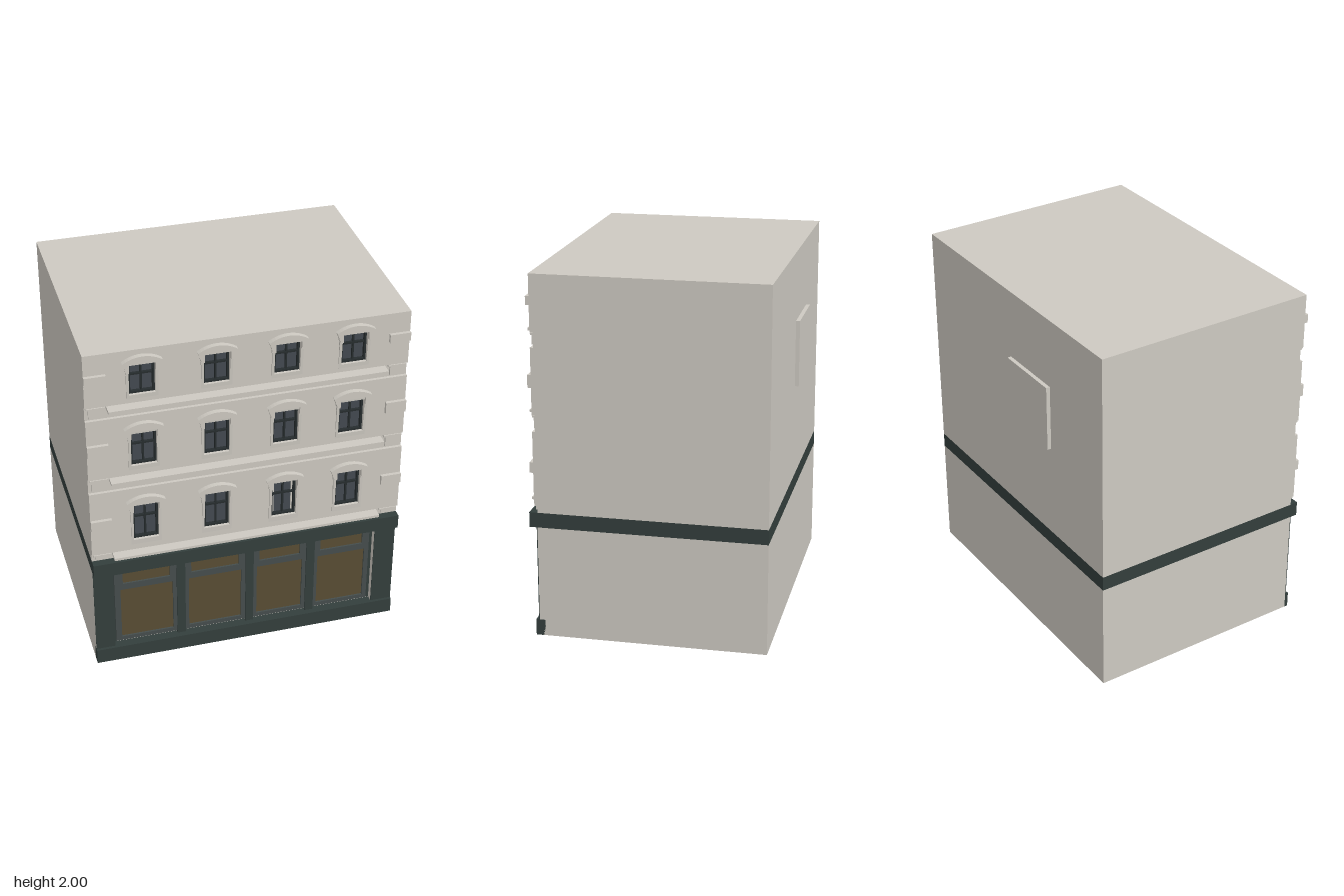
import * as THREE from 'three';

const mat = (color) => new THREE.MeshStandardMaterial({ color, flatShading: true });
const stone = mat(0xcdc9c1), green = mat(0x333e3c), frameGreen = mat(0x454d4c);
const sash = mat(0x262c2e), glass = mat(0x434950), amber = mat(0x584c33);

const BACK = -0.643, W = 0.865, CORE = 0.565, GROOVE = 0.6, WALL = 0.617;

// Box given by its limits on each axis
function box(parent, name, m, x0, x1, y0, y1, z0, z1) {
  const mesh = new THREE.Mesh(new THREE.BoxGeometry(x1 - x0, y1 - y0, z1 - z0), m);
  mesh.position.set((x0 + x1) / 2, (y0 + y1) / 2, (z0 + z1) / 2);
  mesh.name = name;
  parent.add(mesh);
  return mesh;
}

function rectPath(PathType, x0, x1, y0, y1) {
  return new PathType([[x0, y0], [x1, y0], [x1, y1], [x0, y1]].map(p => new THREE.Vector2(...p)));
}

function extrude(parent, name, m, shape, z0, z1) {
  const geo = new THREE.ExtrudeGeometry(shape, { depth: z1 - z0, bevelEnabled: false, curveSegments: 6 });
  geo.translate(0, 0, z0);
  const mesh = new THREE.Mesh(geo, m);
  mesh.name = name;
  parent.add(mesh);
  return mesh;
}

const columns = [-0.565, -0.175, 0.2, 0.562];
const HALF = 0.069; // half width of a window opening
const storeys = [
  { wall: [0.755, 1.155], trim: [0.79, 1.108], pane: [0.82, 1.052], quoin: [0.928, 0.986], groove: [0.705, 0.755] },
  { wall: [1.245, 1.61], trim: [1.277, 1.572], pane: [1.302, 1.508], quoin: [1.394, 1.463], groove: [1.155, 1.245] },
  { wall: [1.69, 2], trim: [1.715, 1.972], pane: [1.738, 1.922], quoin: [1.834, 1.882], groove: [1.61, 1.69] },
];

// Sash window with a flared surround and an arched hood
function makeWindow(cx, { trim: [b, t], pane: [p0, p1] }) {
  const g = new THREE.Group();
  g.name = 'window';
  g.position.x = cx;

  const s = new THREE.Shape();
  s.moveTo(-0.083, b);
  s.lineTo(0.083, b);
  s.lineTo(0.083, t - 0.12);
  s.quadraticCurveTo(0.086, t - 0.07, 0.104, t - 0.033);
  s.quadraticCurveTo(0.055, t, 0, t);
  s.quadraticCurveTo(-0.055, t, -0.104, t - 0.033);
  s.quadraticCurveTo(-0.086, t - 0.07, -0.083, t - 0.12);
  s.holes.push(rectPath(THREE.Path, -HALF, HALF, p0, p1));
  const surround = extrude(g, 'windowSurround', stone, s, WALL - 0.005, 0.63);
  // The surround leans forward towards its top
  const pos = surround.geometry.attributes.position;
  for (let i = 0; i < pos.count; i++) {
    if (pos.getZ(i) > WALL) pos.setZ(i, 0.62 + 0.015 * (pos.getY(i) - b) / (t - b));
  }
  surround.geometry.computeVertexNormals();

  // Hood
  const h = new THREE.Shape();
  h.moveTo(-0.104, t - 0.033);
  h.lineTo(-0.083, t - 0.09);
  h.lineTo(-HALF, t - 0.09);
  h.lineTo(-HALF, t - 0.045);
  h.lineTo(HALF, t - 0.045);
  h.lineTo(HALF, t - 0.09);
  h.lineTo(0.083, t - 0.09);
  h.lineTo(0.104, t - 0.033);
  h.quadraticCurveTo(0.055, t, 0, t);
  h.quadraticCurveTo(-0.055, t, -0.104, t - 0.033);
  extrude(g, 'windowHood', stone, h, WALL, 0.645);

  // Glass and sash bars
  box(g, 'windowGlass', glass, -HALF, HALF, p0, p1, CORE, 0.585);
  const rim = rectPath(THREE.Shape, -HALF, HALF, p0, p1);
  rim.holes.push(rectPath(THREE.Path, -HALF + 0.011, HALF - 0.011, p0 + 0.011, p1 - 0.011));
  extrude(g, 'sashFrame', sash, rim, 0.58, 0.605);
  const mid = p0 + (p1 - p0) * 0.6;
  box(g, 'sashMullion', sash, -0.005, 0.005, p0, p1, 0.58, 0.598);
  box(g, 'sashRail', sash, -HALF, HALF, mid - 0.005, mid + 0.005, 0.58, 0.6);
  return g;
}

function makeStorey(s) {
  const g = new THREE.Group();
  g.name = 'storey';
  const wall = rectPath(THREE.Shape, -W, W, ...s.wall);
  for (const cx of columns) {
    wall.holes.push(rectPath(THREE.Path, cx - HALF, cx + HALF, ...s.pane));
    g.add(makeWindow(cx, s));
  }
  extrude(g, 'facadeWall', stone, wall, CORE, WALL);

  // Recessed string course with a thin ledge and corner blocks
  const [g0, g1] = s.groove;
  box(g, 'stringCourse', stone, -W, W, g0, g1, CORE, GROOVE);
  box(g, 'ledge', stone, -0.752, 0.742, g1 - 0.022, g1 - 0.007, GROOVE, 0.665);
  for (const side of [-1, 1]) {
    const x = side * 0.808;
    box(g, 'cornerBlock', stone, x - 0.038, x + 0.038, g0 + 0.012, g1 - 0.014, GROOVE, 0.612);
    box(g, 'cornerCap', stone, x - 0.05, x + 0.05, g1 - 0.014, g1 - 0.004, GROOVE, 0.617);
    const xs = [side * 0.752, side * W].sort((a, b) => a - b);
    box(g, 'quoin', stone, ...xs, ...s.quoin, WALL, 0.636);
  }
  return g;
}

function makeShopfront() {
  const g = new THREE.Group();
  g.name = 'shopfront';
  box(g, 'plinth', green, -W, W, 0, 0.09, 0.57, 0.622);
  box(g, 'fascia', green, -W, W, 0.622, 0.705, BACK, 0.645);
  // Corner piers with thin painted faces
  for (const [x0, x1] of [[-W, -0.757], [0.745, W]]) {
    box(g, 'cornerPier', stone, x0, x1, 0, 0.622, 0.555, 0.602);
    box(g, 'pierFace', green, x0, x1, 0.09, 0.622, 0.602, 0.606);
  }
  box(g, 'shopBacking', green, -0.757, 0.745, 0.09, 0.622, 0.555, 0.567);

  // Bays: outer frame left and right, then lower pane left and right
  const bays = [
    [-0.745, -0.395, -0.712, -0.416], [-0.347, 0.0, -0.326, -0.024],
    [0.045, 0.352, 0.066, 0.33], [0.4, 0.723, 0.42, 0.697],
  ];
  for (const [f0, f1, p0, p1] of bays) {
    const frame = rectPath(THREE.Shape, f0, f1, 0.102, 0.61);
    frame.holes.push(rectPath(THREE.Path, p0, p1, 0.127, 0.46));
    frame.holes.push(rectPath(THREE.Path, p0 + 0.015, p1 - 0.015, 0.5, 0.595));
    extrude(g, 'shopFrame', frameGreen, frame, 0.565, 0.582);
    box(g, 'shopPane', amber, p0, p1, 0.127, 0.46, 0.565, 0.572);
    box(g, 'transomPane', amber, p0 + 0.015, p1 - 0.015, 0.5, 0.595, 0.565, 0.572);
  }
  // Pilasters between the bays
  for (let i = 0; i < 3; i++) {
    box(g, 'pilaster', green, bays[i][1], bays[i + 1][0], 0.09, 0.622, 0.565, 0.59);
  }
  return g;
}

export function createModel() {
  const model = new THREE.Group();
  model.name = 'townBuilding';
  box(model, 'lowerBody', stone, -W, W, 0, 0.622, BACK, 0.555);
  box(model, 'upperBody', stone, -W, W, 0.705, 2, BACK, CORE);
  box(model, 'backPanel', stone, -0.37, 0.022, 1.24, 1.612, -0.665, BACK);
  model.add(makeShopfront());
  for (const s of storeys) model.add(makeStorey(s));

  // Pale curtains at the edges of one first-floor window
  const curtains = new THREE.Group();
  curtains.name = 'curtains';
  for (const x of [0.148, 0.252]) box(curtains, 'curtain', stone, x - 0.004, x + 0.004, 0.835, 1.04, 0.58, 0.59);
  model.add(curtains);
  return model;
}
